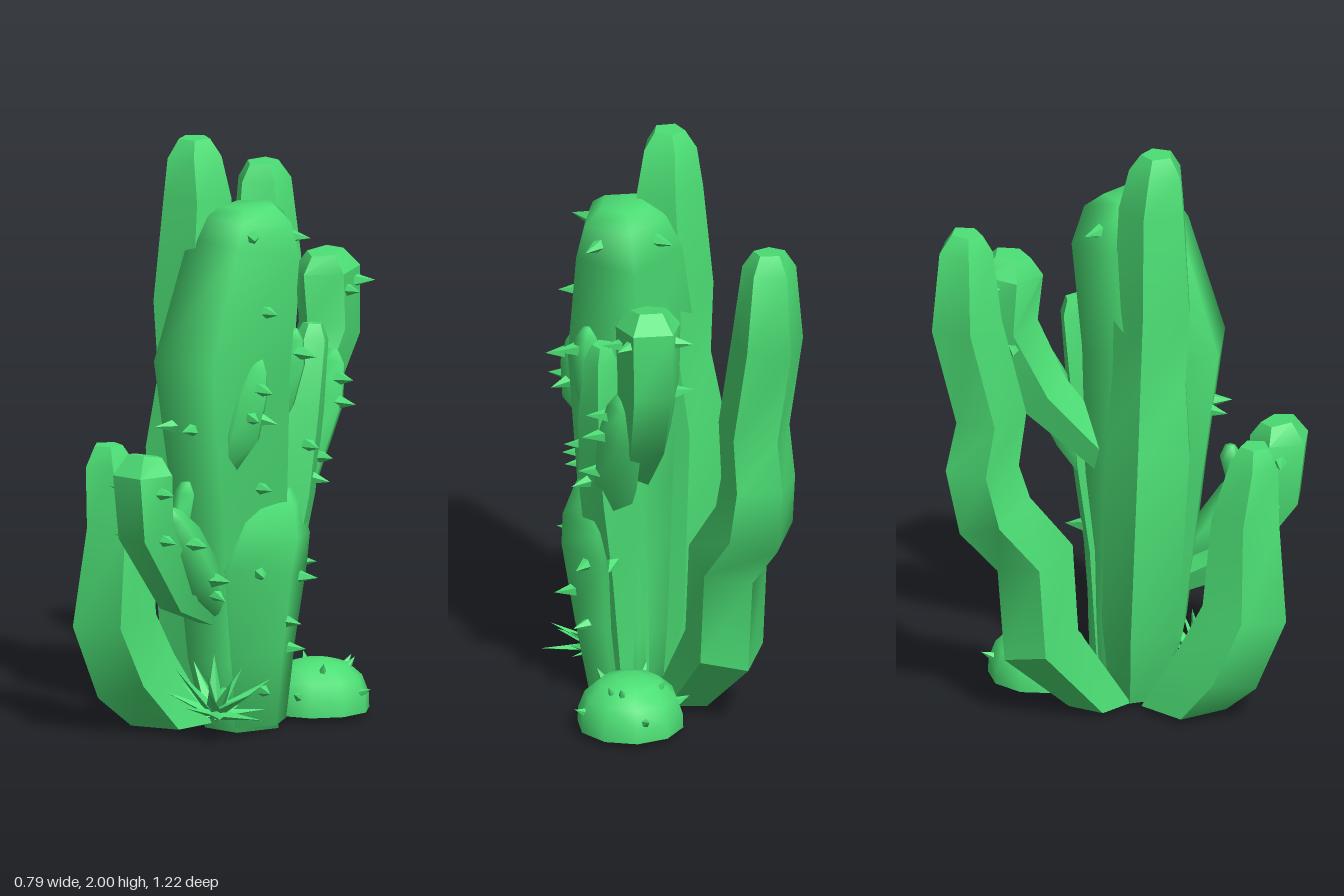
import * as THREE from 'three';
import { toCreasedNormals } from 'three/addons/utils/BufferGeometryUtils.js';

const material = new THREE.MeshStandardMaterial({ color: 0x4cdf75 });
const UP = new THREE.Vector3(0, 1, 0);

// Sections: [x, y, z, radius] from root to tip
function frames(sections) {
  const pts = sections.map(s => new THREE.Vector3(s[0], s[1], s[2]));
  return sections.map((s, i) => {
    const dir = pts[Math.min(i + 1, pts.length - 1)].clone().sub(pts[Math.max(i - 1, 0)]).normalize();
    if (i === 0 && s[1] < 0.03) dir.copy(UP); // flat foot on the ground
    return { p: pts[i], r: s[3], q: new THREE.Quaternion().setFromUnitVectors(UP, dir) };
  });
}

function mesh(geometry, name) {
  const m = new THREE.Mesh(geometry, material);
  m.name = name;
  return m;
}

// Polygonal stem swept through its sections, closed at both ends
function stemGeometry(fr, { rot, smooth, wide = 1 }) {
  const sides = 5, pos = [], idx = [];
  for (const f of fr) {
    for (let j = 0; j < sides; j++) {
      const a = rot + j * 2 * Math.PI / sides;
      const v = new THREE.Vector3(Math.sin(a) * f.r * wide, 0, Math.cos(a) * f.r).applyQuaternion(f.q).add(f.p);
      pos.push(v.x, v.y, v.z);
    }
  }
  const n = fr.length, bottom = n * sides, top = bottom + 1;
  pos.push(...fr[0].p.toArray(), ...fr[n - 1].p.toArray());
  for (let j = 0; j < sides; j++) {
    const k = (j + 1) % sides;
    for (let i = 0; i < n - 1; i++) {
      const a = i * sides + j, b = i * sides + k;
      idx.push(a, b, b + sides, a, b + sides, a + sides);
    }
    idx.push(bottom, k, j, top, (n - 1) * sides + j, (n - 1) * sides + k);
  }
  const g = new THREE.BufferGeometry();
  g.setAttribute('position', new THREE.Float32BufferAttribute(pos, 3));
  g.setIndex(idx);
  g.computeVertexNormals();
  return smooth ? g : toCreasedNormals(g, 0.6);
}

// Small five-sided thorn pointing along dir
const thornGeometry = toCreasedNormals(new THREE.ConeGeometry(0.028, 0.08, 5), 0.3);
function thorn(p, dir) {
  const t = mesh(thornGeometry, 'thorn');
  t.quaternion.setFromUnitVectors(UP, dir);
  t.position.copy(p).addScaledVector(dir, 0.022);
  return t;
}

// Thorns: [position along the sections, angle in degrees (0 = +z, 90 = +x)]
function stem(name, sections, options, thorns = []) {
  const group = new THREE.Group();
  group.name = name;
  const fr = frames(sections);
  group.add(mesh(stemGeometry(fr, options), name + 'Body'));
  const { rot, wide = 1 } = options;
  const half = Math.PI / 5;
  for (const [t, deg] of thorns) {
    const i = Math.min(Math.floor(t), fr.length - 2), f = t - i, a = deg * Math.PI / 180;
    const q = fr[i].q.clone().slerp(fr[i + 1].q, f);
    const dir = new THREE.Vector3(Math.sin(a), 0, Math.cos(a)).applyQuaternion(q);
    const off = ((a - rot) % (2 * half) + 2 * half) % (2 * half) - half;
    const r = THREE.MathUtils.lerp(fr[i].r, fr[i + 1].r, f) * Math.cos(half) / Math.cos(off);
    const out = new THREE.Vector3(Math.sin(a) * r * wide, 0, Math.cos(a) * r).applyQuaternion(q);
    group.add(thorn(fr[i].p.clone().lerp(fr[i + 1].p, f).add(out), dir));
  }
  return group;
}

// Rosette of pointed leaves near the ground, leaning outward
function rosette() {
  const g = new THREE.Group();
  g.name = 'spikyRosette';
  const leaf = new THREE.ConeGeometry(0.042, 0.22, 4).toNonIndexed();
  leaf.translate(0, 0.1, 0);
  leaf.scale(1, 1, 0.5);
  leaf.computeVertexNormals();
  [[8, 1.3, 0.95], [6, 0.85, 1], [4, 0.4, 0.9]].forEach(([count, tilt, size], ring) => {
    for (let i = 0; i < count; i++) {
      const m = mesh(leaf, 'leaf');
      m.rotation.set(tilt, (i + ring * 0.4) * 2 * Math.PI / count, 0, 'YXZ');
      m.scale.setScalar(size * (0.85 + 0.1 * (i % 3)));
      g.add(m);
    }
  });
  g.position.set(0.18, 0.08, 0.25);
  g.rotation.z = -0.25;
  return g;
}

// Low domed cactus with scattered thorns
function roundCactus() {
  const g = new THREE.Group();
  g.name = 'roundCactus';
  const profile = [[0.18, 0], [0.178, 0.05], [0.155, 0.11], [0.105, 0.155], [0.05, 0.17], [0, 0.172]]
    .map(p => new THREE.Vector2(...p));
  g.add(mesh(new THREE.LatheGeometry(profile, 10), 'roundCactusBody'));
  const base = mesh(new THREE.CircleGeometry(0.18, 10), 'roundCactusBase');
  base.rotation.set(Math.PI / 2, 0, Math.PI / 2);
  g.add(base);
  for (let i = 0; i < 10; i++) {
    const a = i * 2.4, e = i % 2 ? 0.95 : 0.4;
    const dir = new THREE.Vector3(Math.sin(a) * Math.cos(e), Math.sin(e), Math.cos(a) * Math.cos(e));
    const t = thorn(dir.clone().multiply(new THREE.Vector3(0.175, 0.17, 0.175)), dir);
    t.scale.setScalar(0.6);
    g.add(t);
  }
  g.position.set(0.16, 0.02, -0.28);
  return g;
}

export function createModel() {
  const root = new THREE.Group();
  root.name = 'cactusCluster';
  const outward = { rot: Math.PI / 2, smooth: true };

  root.add(
    // Thick main trunk, with a broad lobe and two buds on its side
    stem('mainTrunk', [[0.11, 0, 0.03, 0.14], [0.11, 0.25, 0.06, 0.18], [0.115, 0.8, 0.09, 0.22],
      [0.11, 1.25, 0.12, 0.26], [0.13, 1.64, 0.035, 0.215], [0.14, 1.74, 0.03, 0.165], [0.14, 1.78, 0.03, 0.1]],
    { rot: Math.PI, smooth: true, wide: 0.88 },
    [[2.55, 5], [2.55, 335], [3.5, 80], [4.5, 50], [4.5, 130], [4.5, 225], [2.1, 80]]),
    stem('sideLobe', [[0.16, 0.02, 0.03, 0.13], [0.18, 0.28, 0.05, 0.165], [0.19, 0.56, 0.055, 0.21],
      [0.22, 0.7, 0.02, 0.175], [0.25, 0.79, 0, 0.09], [0.26, 0.825, 0, 0.03]],
    { rot: Math.PI / 2, smooth: true, wide: 0.75 },
    [[2, 55], [1.4, 95], [1.9, 135], [0.5, 65], [1, 120]]),
    stem('shoulderBud', [[0.22, 0.92, 0.22, 0.03], [0.25, 1.03, 0.2, 0.075], [0.265, 1.17, 0.17, 0.07],
      [0.275, 1.25, 0.15, 0.045], [0.28, 1.29, 0.14, 0.015]], outward, [[2.3, 80], [1.5, 65], [1.5, 110]]),
    stem('sideBud', [[0.22, 1, 0.03, 0.03], [0.25, 1.12, 0, 0.055], [0.27, 1.25, -0.03, 0.055],
      [0.275, 1.33, -0.035, 0.04], [0.275, 1.365, -0.035, 0.015]], outward, [[2.5, 90]]),

    // Tall plain columns
    stem('tallColumn', [[0.02, 0.02, 0.06, 0.1], [-0.04, 0.3, 0.08, 0.14], [-0.06, 0.95, 0.11, 0.155],
      [-0.03, 1.2, 0.11, 0.135], [-0.035, 1.45, 0.12, 0.14], [-0.02, 1.8, 0.115, 0.12],
      [-0.025, 1.94, 0.125, 0.095], [-0.025, 2, 0.125, 0.055]], { rot: 1.97 }),
    stem('backColumn', [[-0.06, 0.02, -0.07, 0.11], [-0.16, 0.28, -0.26, 0.14], [-0.17, 0.6, -0.28, 0.14],
      [-0.24, 0.78, -0.41, 0.14], [-0.25, 0.95, -0.45, 0.13], [-0.24, 1.13, -0.42, 0.125],
      [-0.275, 1.48, -0.5, 0.125], [-0.28, 1.74, -0.5, 0.095], [-0.28, 1.8, -0.495, 0.055]], { rot: -0.1 }),
    stem('frontColumn', [[-0.05, 0.02, 0.22, 0.15], [-0.11, 0.2, 0.34, 0.155], [-0.125, 0.4, 0.43, 0.15],
      [-0.095, 0.72, 0.43, 0.12], [-0.115, 0.93, 0.46, 0.085], [-0.115, 0.99, 0.46, 0.05]], { rot: 0.93 }),
    stem('slimColumn', [[0.13, 0.02, -0.03, 0.08], [0.16, 0.5, -0.04, 0.11], [0.2, 0.8, -0.09, 0.105],
      [0.225, 1.08, -0.125, 0.09], [0.24, 1.31, -0.17, 0.06], [0.24, 1.36, -0.175, 0.035]],
    { rot: 1.5 }, [[2.2, 110], [2.6, 75], [1.2, 160]]),

    // Front arm and its branches
    stem('frontArm', [[0.11, 0.4, 0.18, 0.05], [0.11, 0.49, 0.35, 0.08], [0.11, 0.74, 0.515, 0.1],
      [0.11, 0.93, 0.53, 0.105], [0.11, 0.99, 0.52, 0.06]], { rot: Math.PI },
    [[2.7, 85], [2.7, 275], [1.9, 80], [1.9, 280], [1.3, 280]]),
    stem('frontBranch', [[0.15, 0.44, 0.2, 0.05], [0.15, 0.55, 0.3, 0.085], [0.15, 0.68, 0.39, 0.085],
      [0.15, 0.77, 0.44, 0.05], [0.15, 0.8, 0.455, 0.02]], outward, [[1, 90], [2.1, 85], [0.6, 70]]),
    stem('frontBud', [[0.14, 0.68, 0.42, 0.03], [0.14, 0.76, 0.375, 0.038], [0.14, 0.84, 0.355, 0.038],
      [0.14, 0.88, 0.355, 0.018]], outward),

    // Rear arm and its branch
    stem('rearArm', [[0.11, 0.83, -0.05, 0.06], [0.11, 1.06, -0.27, 0.095], [0.11, 1.3, -0.395, 0.11],
      [0.11, 1.5, -0.385, 0.115], [0.11, 1.56, -0.375, 0.065]], { rot: 0 },
    [[2.7, 85], [2.8, 245], [2.8, 130], [1.8, 275], [1.3, 85]]),
    stem('rearBranch', [[0.18, 0.68, -0.07, 0.04], [0.19, 0.86, -0.17, 0.075], [0.19, 1.08, -0.28, 0.08],
      [0.19, 1.2, -0.32, 0.055], [0.19, 1.245, -0.325, 0.02]], outward,
    [[2.6, 85], [2, 95], [1.2, 85]]),

    rosette(),
    roundCactus()
  );
  return root;
}
